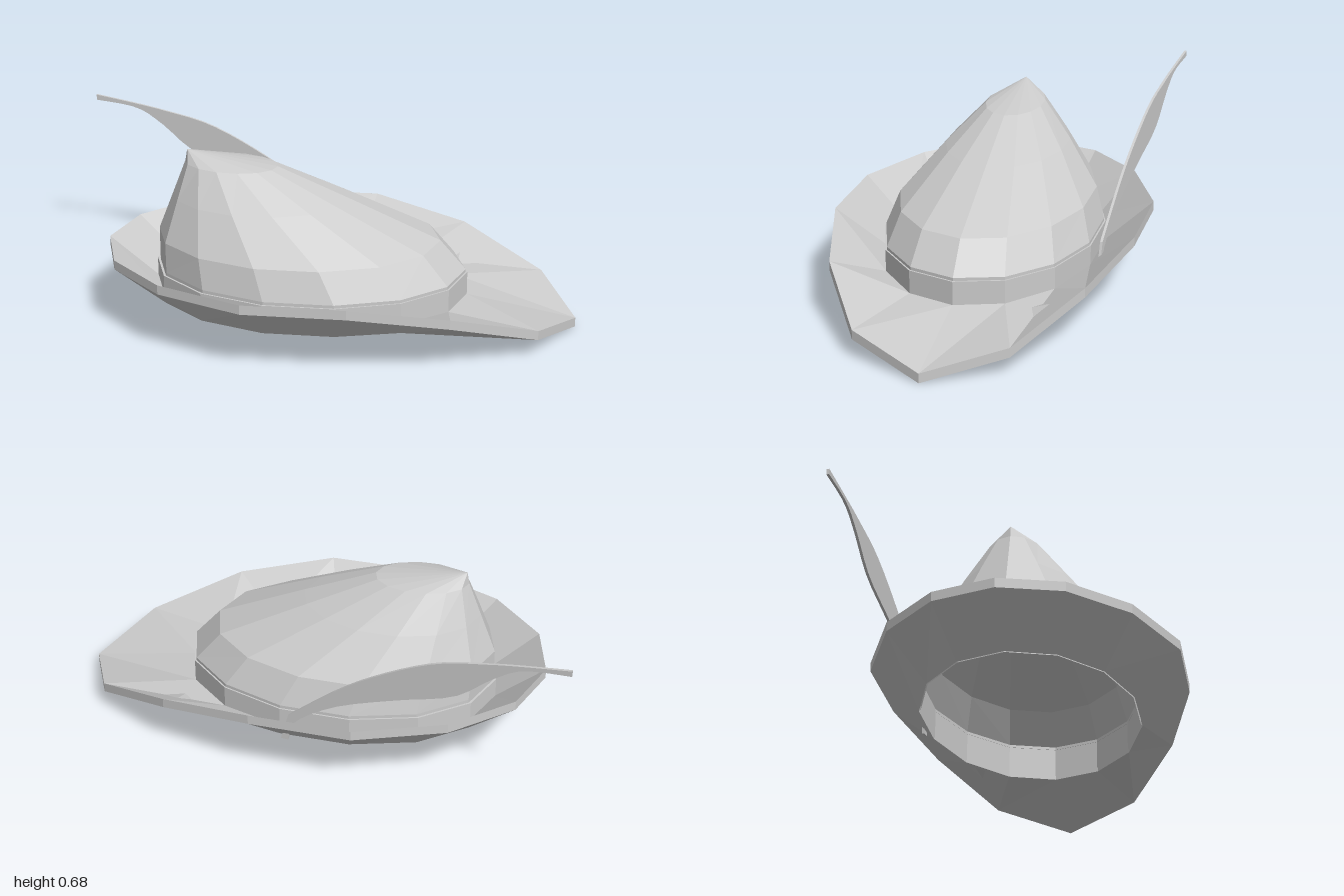
import * as THREE from 'three';

const SIDES = 14;
const grey = new THREE.MeshStandardMaterial({ color: 0xcccccc, flatShading: true, side: THREE.DoubleSide });

// Elliptical ring centred on (cx, y); tilt raises the back relative to the front
function ellipse(cx, y, rx, rz, tilt = 0) {
  return Array.from({ length: SIDES }, (_, k) => {
    const a = (k / SIDES) * Math.PI * 2;
    return [cx + rx * Math.cos(a), y - tilt * Math.cos(a), rz * Math.sin(a)];
  });
}

// Full ring from half an outline (first and last points on the centre line)
function mirrored(half) {
  const back = half.slice(1, -1).reverse().map(([x, y, z]) => [x, y, -z]);
  return [...half, ...back];
}

// Faceted skin over successive rings
function loft(rings) {
  const pos = [];
  for (let r = 0; r < rings.length - 1; r++) {
    const a = rings[r], b = rings[r + 1];
    for (let k = 0; k < SIDES; k++) {
      const n = (k + 1) % SIDES;
      pos.push(...a[k], ...b[k], ...a[n], ...b[k], ...b[n], ...a[n]);
    }
  }
  const g = new THREE.BufferGeometry();
  g.setAttribute('position', new THREE.Float32BufferAttribute(pos, 3));
  g.computeVertexNormals();
  return g;
}

function part(name, geometry) {
  const mesh = new THREE.Mesh(geometry, grey);
  mesh.name = name;
  return mesh;
}

const lift = (ring, dy) => ring.map(([x, y, z]) => [x, y + dy, z]);

export function createModel() {
  const hat = new THREE.Group();
  hat.name = 'featheredHat';

  // Brim: upturned at the sides and back, drooping to a point at one end
  const outer = mirrored([
    [1, 0, 0], [0.86, 0.07, 0.29], [0.54, 0.185, 0.485], [0.17, 0.25, 0.59],
    [-0.22, 0.25, 0.59], [-0.55, 0.25, 0.45], [-0.76, 0.25, 0.24], [-0.83, 0.25, 0],
  ]);
  const inner = ellipse(-0.03, 0.095, 0.607, 0.42).map(([x, y, z]) => [x, y - 0.03 * Math.max(0, x - 0.1), z]);
  hat.add(part('brim', loft([inner, outer, lift(outer, 0.037), lift(inner, 0.035), inner])));

  // Crown: open underneath, leaning back to an off-centre peak
  hat.add(part('crown', loft([
    ellipse(-0.03, 0.095, 0.6, 0.415),
    ellipse(-0.03, 0.22, 0.6, 0.415),
    ellipse(-0.08, 0.335, 0.55, 0.375),
    ellipse(-0.225, 0.49, 0.345, 0.24),
    ellipse(-0.34, 0.615, 0.18, 0.115, 0.005),
    ellipse(-0.512, 0.665, 0, 0),
  ])));

  // Band around the foot of the crown
  const band = (y, s) => ellipse(-0.032, y, 0.6 * s, 0.415 * s);
  hat.add(part('hatBand', loft([band(0.1, 1.015), band(0.208, 1.015), band(0.208, 1.0)])));

  // Feather: thin curved blade, with its quill set into the brim
  const blade = new THREE.Shape();
  blade.moveTo(0.09, 0.1);
  blade.lineTo(0.06, 0.21);
  blade.splineThru([[-0.15, 0.385], [-0.33, 0.5], [-0.52, 0.59], [-0.7, 0.632], [-0.83, 0.655], [-1, 0.68]]
    .map(([x, y]) => new THREE.Vector2(x, y)));
  blade.lineTo(-1, 0.658);
  blade.splineThru([[-0.83, 0.638], [-0.72, 0.575], [-0.58, 0.465], [-0.36, 0.39], [-0.13, 0.3], [0.03, 0.19], [0.06, 0.1]]
    .map(([x, y]) => new THREE.Vector2(x, y)));
  const featherGeo = new THREE.ExtrudeGeometry(blade, { depth: 0.01, bevelEnabled: false, curveSegments: 3 });
  // Sweep the blade outward toward its tip
  const p = featherGeo.attributes.position;
  for (let i = 0; i < p.count; i++) {
    p.setZ(i, p.getZ(i) - 0.447 - 0.12 * (0.06 - p.getX(i)));
  }
  featherGeo.computeVertexNormals();
  hat.add(part('feather', featherGeo));

  return hat;
}
